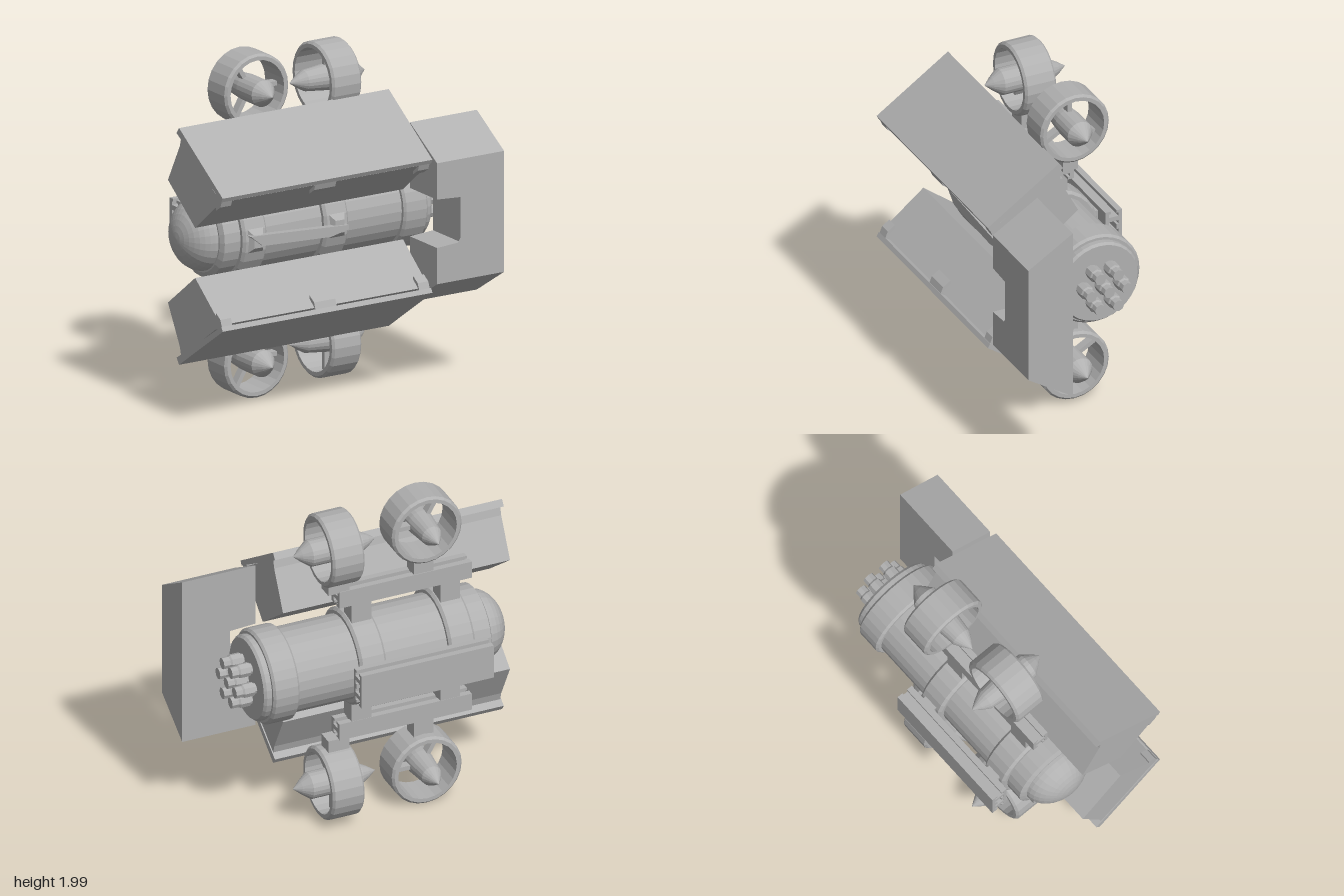
import * as THREE from 'three';

export function createModel() {
  const grey = new THREE.MeshStandardMaterial({ color: 0xb0b0b0 });
  grey.name = 'hull grey';
  grey.flatShading = true;
  const model = new THREE.Group();
  model.name = 'underwaterVehicle';
  const CY = 1.005, CZ = -0.095, RZ = -0.14;

  const add = (parent, name, geo, x = 0, y = 0, z = 0) => {
    const mesh = new THREE.Mesh(geo, grey);
    mesh.name = name;
    mesh.position.set(x, y, z);
    parent.add(mesh);
    return mesh;
  };
  const box = (parent, name, x0, x1, y0, y1, z0, z1) => add(parent, name,
    new THREE.BoxGeometry(x1 - x0, y1 - y0, z1 - z0), (x0 + x1) / 2, (y0 + y1) / 2, (z0 + z1) / 2);
  const shapeOf = (pts) => new THREE.Shape(pts.map(([a, b]) => new THREE.Vector2(a, b)));
  // Extrudes a [z, y] outline from x0 to x1
  const alongX = (pts, x0, x1) => new THREE.ExtrudeGeometry(shapeOf(pts), { depth: x1 - x0, bevelEnabled: false })
    .rotateY(-Math.PI / 2).translate(x1, 0, 0);
  // Lathe about the x axis from [radius, x] points, x ascending
  const turned = (pts, sides) => new THREE.LatheGeometry(pts.map(([r, x]) => new THREE.Vector2(r, x)), sides)
    .rotateZ(-Math.PI / 2);

  // Pressure hull with a domed nose and flanged end cap
  add(model, 'pressureHull', turned([[0, -0.72], [0.215, -0.72], [0.245, -0.705], [0.245, 0.5], [0, 0.5]], 28), 0, CY, CZ);
  const dome = [];
  for (let i = 0; i <= 9; i++) {
    const a = i / 9 * Math.PI / 2;
    dome.push([0.207 * Math.sin(a), -0.71 - 0.16 * Math.cos(a)]);
  }
  add(model, 'noseDome', turned(dome, 28), 0, CY, CZ);
  add(model, 'endFlange', turned([[0, 0.47], [0.262, 0.47], [0.275, 0.483], [0.275, 0.617], [0.262, 0.63],
    [0.247, 0.63], [0.247, 0.66], [0.235, 0.675], [0, 0.675]], 32), 0, CY, CZ);

  // Cable connectors: one in the middle, six around it
  for (let i = 0; i < 7; i++) {
    const a = i * Math.PI / 3, r = i === 6 ? 0 : 0.112;
    add(model, 'connector', turned([[0, 0.67], [0.032, 0.67], [0.032, 0.69], [0.041, 0.69], [0.041, 0.75],
      [0.034, 0.76], [0.034, 0.8], [0, 0.8]], 8), 0, CY + r * Math.sin(a), CZ + r * Math.cos(a));
  }

  // Clamp rings and their rear feet
  for (const x of [-0.52, 0.02]) {
    add(model, 'clampRing', turned([[0.24, -0.08], [0.265, -0.08], [0.28, -0.065], [0.28, 0.065],
      [0.265, 0.08], [0.24, 0.08]], 28), x, CY, CZ);
    box(model, 'rearClampFoot', x - 0.045, x + 0.045, 0.93, 1.08, -0.395, -0.34);
    const foot = add(model, 'frontClampFoot', new THREE.CylinderGeometry(0.04, 0.1, 0.06, 4, 1)
      .rotateY(Math.PI / 4).rotateX(Math.PI / 2), x, CY, 0.18);
    foot.scale.y = 1.3;
  }
  // Tapered bar across the front of the clamps
  add(model, 'frontBar', new THREE.ExtrudeGeometry(shapeOf([[-0.58, 1.045], [-0.5, 0.98], [-0.05, 0.96],
    [0.07, 0.985], [0.07, 1.01], [-0.45, 1.04]]), { depth: 0.04, bevelEnabled: false }), 0, 0, 0.185);

  // Slotted rail section, open on all four sides
  const quarter = [[0.052, 0.018], [0.052, 0.052], [0.018, 0.052], [0.018, 0.04], [0.032, 0.04],
    [0.032, 0.028], [0.012, 0.028], [0.012, 0.012]];
  const railPts = [];
  for (let q = 0; q < 4; q++) {
    const c = [1, 0, -1, 0][q], s = [0, 1, 0, -1][q];
    // Slots face up and down; the other two sides are closed by a flat web
    const pts = q % 2 === 0 ? quarter : quarter.map(([a, b]) => [b, a]).reverse();
    for (const [a, b] of pts) railPts.push([a * c - b * s, a * s + b * c]);
  }
  const half = [[0.052, 0.014], [0.052, 0.052], [0.016, 0.052], [0.016, 0.036], [0.03, 0.036], [0.03, 0.014]];
  const mirror = (sx, sy, rev) => {
    const p = half.map(([a, b]) => [a * sx, b * sy]);
    return rev ? p.reverse() : p;
  };
  const rail = [...mirror(1, 1), ...mirror(-1, 1, true), ...mirror(-1, -1), ...mirror(1, -1, true)];
  const railGeo = alongX(rail, -0.65, 0.155);
  for (const y of [CY - 0.052, CY + 0.052]) add(model, 'rearRail', railGeo, 0, y, -0.44);

  // Ducted thruster, axis along x
  const ductGeo = turned([[0.178, -0.097], [0.2, -0.097], [0.213, -0.084], [0.213, 0.084], [0.2, 0.097],
    [0.178, 0.097], [0.178, -0.097]], 24);
  const podGeo = turned([[0, -0.25], [0.035, -0.2], [0.06, -0.155], [0.068, -0.08], [0.077, 0],
    [0.077, 0.08], [0.077, 0.155], [0.04, 0.205], [0, 0.25]], 20);
  const thruster = (parent, x, y, z, turn) => {
    const g = new THREE.Group();
    g.name = 'thruster';
    add(g, 'duct', ductGeo);
    add(g, 'motorPod', podGeo);
    for (let i = 0; i < 3; i++) {
      const a = i * Math.PI * 2 / 3;
      const spoke = add(g, 'spoke', new THREE.BoxGeometry(0.05, 0.13, 0.026), 0,
        0.125 * Math.cos(a), 0.125 * Math.sin(a));
      spoke.rotation.x = a;
    }
    g.position.set(x, y, z);
    // The sideways unit has one spoke level with +x
    if (turn) g.rotation.set(0, -Math.PI / 2, -Math.PI / 2, 'ZYX');
    parent.add(g);
  };

  // One side of the frame; the other side is its mirror image
  const buildSide = (name) => {
    const s = new THREE.Group();
    s.name = name;
    add(s, 'sideRail', railGeo, 0, 1.435, RZ);
    for (const x of [-0.52, 0.02]) box(s, 'railPost', x - 0.06, x + 0.06, 1.22, 1.39, RZ - 0.05, RZ + 0.05);
    box(s, 'thrusterPost', -0.42, -0.3, 1.48, 1.6, RZ - 0.047, RZ + 0.047);
    box(s, 'thrusterPost', 0.09, 0.22, 1.48, 1.575, RZ - 0.047, RZ + 0.047);
    thruster(s, -0.36, 1.787, -0.143, true);
    thruster(s, 0.168, 1.762, -0.148, false);

    // Float block with its slanted cover
    add(s, 'floatBlock', alongX([[0.46, 1.36], [0.2, 1.15], [-0.075, 1.36], [0.045, 1.585], [0.06, 1.64]], -0.935, 0.445));
    add(s, 'floatCover', alongX([[0.487, 1.39], [0.473, 1.365], [0.02, 1.655], [0.045, 1.69]], -0.94, 0.452));
    // Lugs under the cover's front edge
    for (const [x, w] of [[-0.9, 0.07], [-0.243, 0.14], [0.41, 0.07]]) {
      add(s, 'coverLug', alongX([[0.475, 1.38], [0.455, 1.33], [0.41, 1.3], [0.4, 1.4]], x - w / 2, x + w / 2));
    }
    model.add(s);
    return s;
  };
  buildSide('upperSide');
  const lower = buildSide('lowerSide');
  lower.scale.y = -1;
  lower.position.y = 2 * CY;

  // End float: notched block whose ends slope in towards the front
  const endGeo = new THREE.ExtrudeGeometry(shapeOf([[0.49, 0.49], [0.935, 0.49], [0.935, 1.53], [0.49, 1.53],
    [0.49, 1.15], [0.645, 1.14], [0.645, 0.88], [0.49, 0.87]]), { depth: 0.275, bevelEnabled: false });
  const p = endGeo.attributes.position;
  for (let i = 0; i < p.count; i++) {
    if (p.getZ(i) < 0.1) continue;
    if (p.getY(i) > 1.5) p.setY(i, 1.36);
    if (p.getY(i) < 0.5) p.setY(i, 0.66);
  }
  endGeo.computeVertexNormals();
  add(model, 'endFloat', endGeo, 0, 0, 0.2);

  return model;
}
